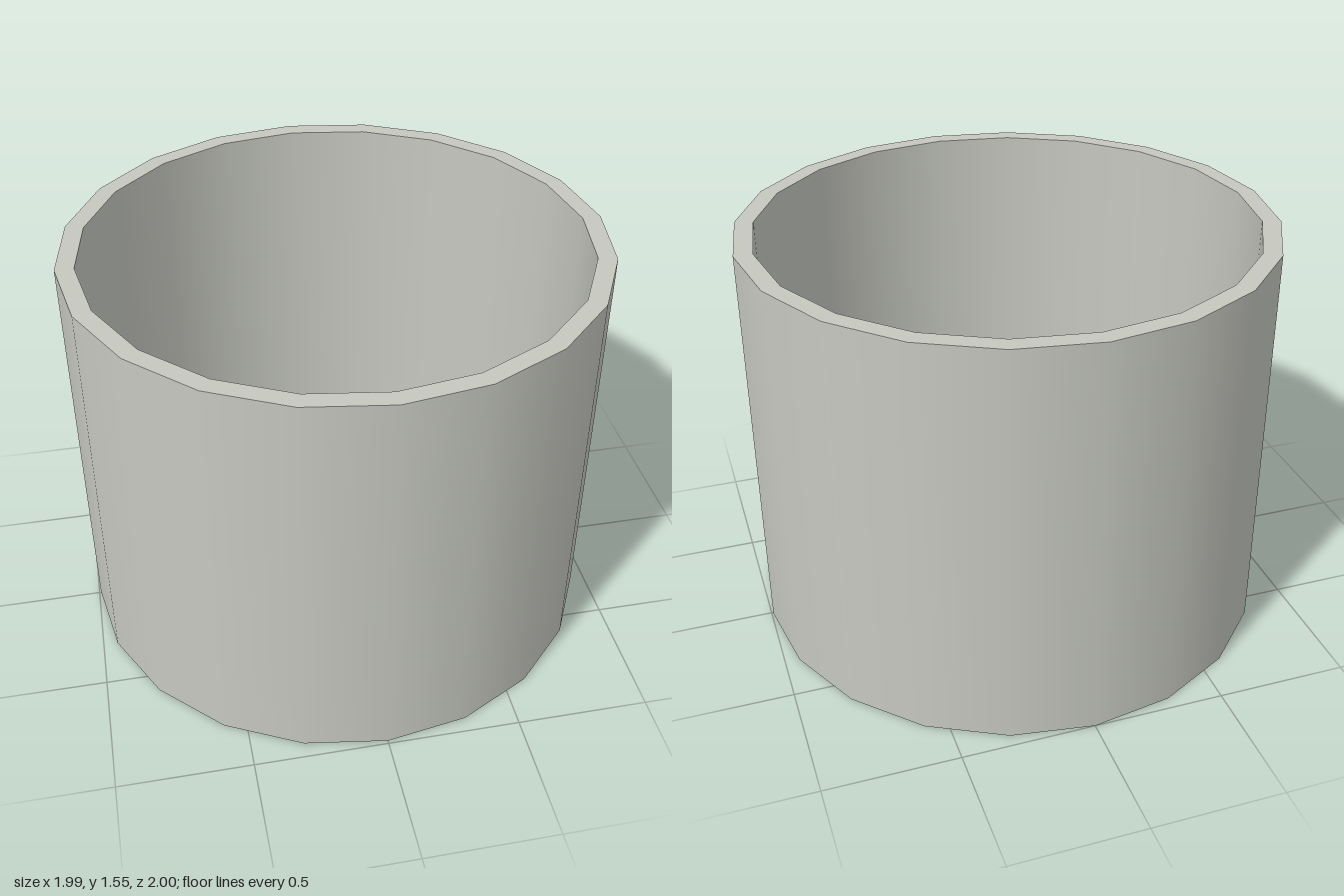
import * as THREE from 'three';

const SIDES = 20, OUTER = 0.994, INNER = 0.925, HUB = 0.45, BORE = 0.23, HEIGHT = 1.55;
const LEAN = 0.0125; // the cup leans very slightly forward

const polar = (r, degrees) => {
  const a = THREE.MathUtils.degToRad(degrees);
  return new THREE.Vector2(r * Math.cos(a), r * Math.sin(a));
};
const polygon = (r, sides) =>
  Array.from({ length: sides }, (_, i) => polar(r, (i * 360) / sides));

export function createModel() {
  const group = new THREE.Group();
  group.name = 'spokedCup';
  const grey = new THREE.MeshStandardMaterial({ color: 0xc6c8c0, side: THREE.DoubleSide });
  grey.name = 'warm grey';

  const add = (name, geometry) => {
    const p = geometry.attributes.position;
    for (let i = 0; i < p.count; i++) {
      p.setZ(i, p.getZ(i) + LEAN * (p.getY(i) / HEIGHT - 0.5));
    }
    const mesh = new THREE.Mesh(geometry, grey);
    mesh.name = name;
    group.add(mesh);
  };

  // Smooth walls: the inner profile runs downward so that it faces the axis
  const wall = (r, from, to) =>
    new THREE.LatheGeometry([new THREE.Vector2(r, from), new THREE.Vector2(r, to)], SIDES);
  add('outerWall', wall(OUTER, 0, HEIGHT));
  add('innerWall', wall(INNER, HEIGHT, 0));

  // Flat top rim
  add('topRim', new THREE.RingGeometry(INNER, OUTER, SIDES)
    .rotateX(-Math.PI / 2).translate(0, HEIGHT, 0));

  // Thin floor with a round bore and five windows between the spokes
  const floor = new THREE.Shape(polygon(OUTER, SIDES));
  floor.holes.push(new THREE.Path(polygon(BORE, 24)));
  for (let i = 0; i < 5; i++) {
    const a = i * 72;
    floor.holes.push(new THREE.Path([
      polar(HUB, a), polar(INNER, a), polar(INNER, a + 18),
      polar(INNER, a + 36), polar(HUB, a + 36), polar(HUB, a + 18),
    ]));
  }
  add('spokedFloor', new THREE.ShapeGeometry(floor).rotateX(-Math.PI / 2));

  return group;
}
